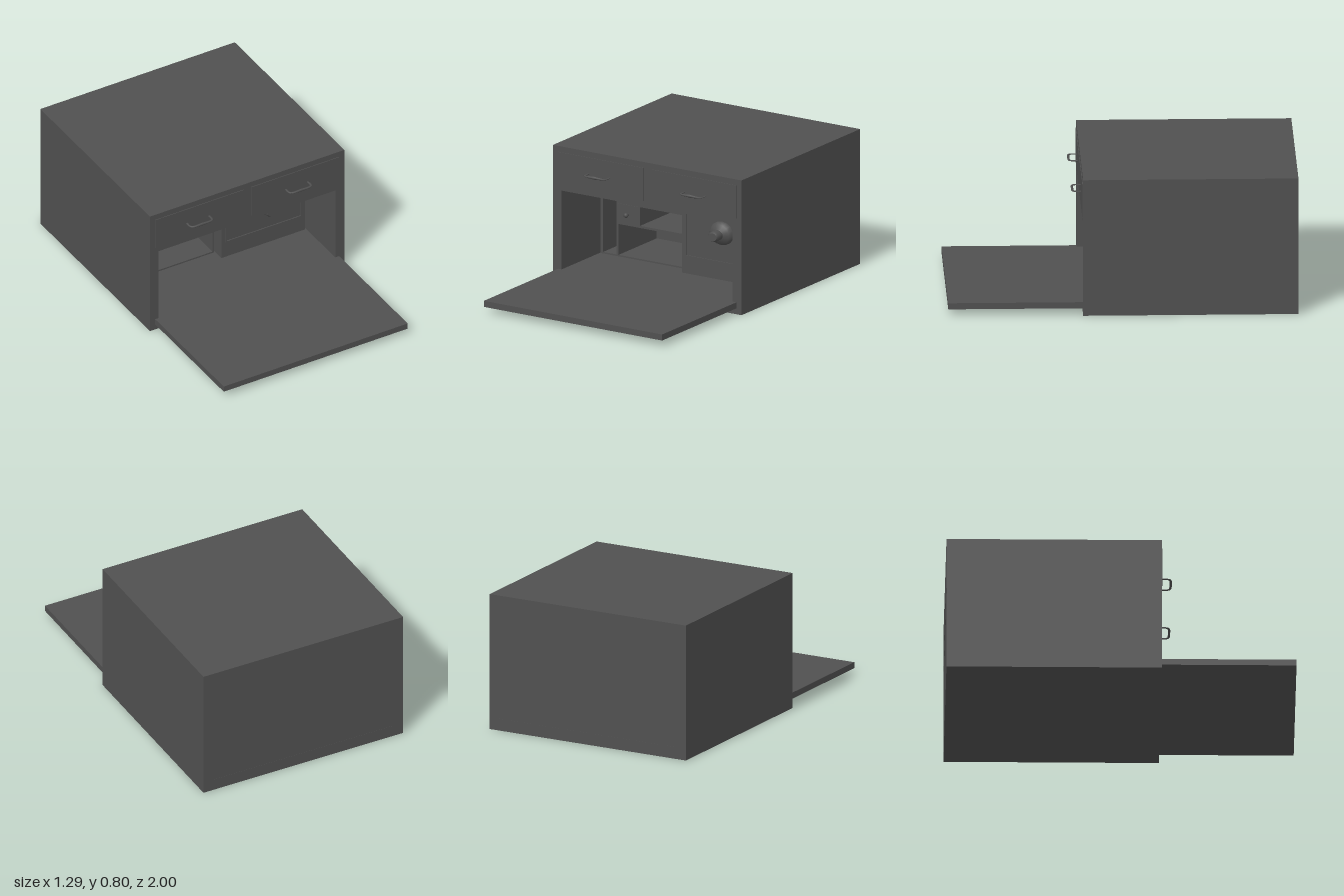
import * as THREE from 'three';

const paint = new THREE.MeshStandardMaterial({ color: 0x505050 });
paint.name = 'dark grey paint';

function add(parent, name, geometry, x = 0, y = 0, z = 0) {
  const mesh = new THREE.Mesh(geometry, paint);
  mesh.name = name;
  mesh.position.set(x, y, z);
  parent.add(mesh);
  return mesh;
}

// Box given by its limits on each axis
function block(parent, name, x0, x1, y0, y1, z0, z1) {
  return add(parent, name, new THREE.BoxGeometry(x1 - x0, y1 - y0, z1 - z0),
    (x0 + x1) / 2, (y0 + y1) / 2, (z0 + z1) / 2);
}

function rect(Type, x0, x1, y0, y1) {
  return new Type([[x0, y0], [x1, y0], [x1, y1], [x0, y1]].map(p => new THREE.Vector2(...p)));
}

// Rectangular panel with rectangular holes, running from z0 to z1
function frame(parent, name, outer, holes, z0, z1) {
  const shape = rect(THREE.Shape, ...outer);
  holes.forEach(h => shape.holes.push(rect(THREE.Path, ...h)));
  const geometry = new THREE.ExtrudeGeometry(shape, { depth: z1 - z0, bevelEnabled: false });
  return add(parent, name, geometry, 0, 0, z0);
}

// Bail handle: a bent rod, thickest in the middle of the grip
function handle() {
  const path = new THREE.CatmullRomCurve3([
    [-0.073, 0], [-0.073, 0.03], [-0.067, 0.043], [-0.05, 0.049], [0, 0.05],
    [0.05, 0.049], [0.067, 0.043], [0.073, 0.03], [0.073, 0],
  ].map(([x, z]) => new THREE.Vector3(x, 0, z)));
  const geometry = new THREE.TubeGeometry(path, 40, 0.007, 8);
  const p = geometry.attributes.position;
  for (let i = 0; i < p.count; i++) {
    p.setY(i, p.getY(i) * (1.3 - 0.9 * Math.abs(p.getX(i)) / 0.08));
  }
  geometry.computeVertexNormals();
  return geometry;
}

// Turned part whose axis points to the front
function turned(profile, sides) {
  const points = profile.map(([r, h]) => new THREE.Vector2(r, h));
  return new THREE.LatheGeometry(points, sides).rotateX(Math.PI / 2);
}

export function createModel() {
  const model = new THREE.Group();
  model.name = 'dropFrontDesk';
  const front = 0.23;

  // Case, open at the front below the drawers
  const opening = [-0.587, 0.585, 0.07, 0.54];
  frame(model, 'case', [-0.645, 0.645, 0, 0.803], [opening], -1, front);
  block(model, 'backPanel', -0.587, 0.585, 0.07, 0.54, -0.999, -0.97);

  // Fold-down writing leaf
  block(model, 'writingLeaf', -0.61, 0.61, 0.035, 0.071, front, 1);

  // Two upper drawers with handles
  for (const side of [-1, 1]) {
    const drawer = new THREE.Group();
    drawer.name = side < 0 ? 'rightDrawer' : 'leftDrawer';
    model.add(drawer);
    const x = side * 0.318;
    block(drawer, 'drawerFront', x - 0.292, x + 0.292, 0.57, 0.768, front, front + 0.004);
    add(drawer, 'drawerHandle', handle(), side * 0.328, 0.67, front + 0.004);
  }

  // Pigeonholes, set back inside the opening
  const holes = [
    [-0.563, -0.472, 0.08, 0.53],
    [-0.457, -0.36, 0.4, 0.53],
    [-0.347, -0.235, 0.4, 0.53],
    [-0.217, -0.105, 0.4, 0.53],
    [-0.088, 0.003, 0.4, 0.53],
    [-0.31, 0.003, 0.277, 0.388],
    [-0.457, 0.003, 0.08, 0.264],
  ];
  const pigeonholes = new THREE.Group();
  pigeonholes.name = 'pigeonholes';
  model.add(pigeonholes);
  frame(pigeonholes, 'dividers', [-0.58, 0.015, 0.071, 0.539], holes, -0.56, -0.165);
  block(pigeonholes, 'pigeonholeBack', -0.58, 0.015, 0.071, 0.539, -0.575, -0.56);

  // Small drawer beside the middle compartment
  block(pigeonholes, 'smallDrawerFront', -0.457, -0.32, 0.277, 0.388, -0.165, -0.162);
  add(pigeonholes, 'smallKnob', turned(
    [[0.006, 0], [0.006, 0.012], [0.014, 0.018], [0.014, 0.026], [0.008, 0.032], [0, 0.033]], 12),
    -0.39, 0.332, -0.162);

  // Strongbox with a framed door
  const strongbox = new THREE.Group();
  strongbox.name = 'strongbox';
  model.add(strongbox);
  block(strongbox, 'strongboxBody', 0.022, 0.577, 0.071, 0.539, -0.575, -0.095);
  frame(strongbox, 'doorMoulding', [0.047, 0.552, 0.174, 0.532],
    [[0.054, 0.545, 0.181, 0.525]], -0.095, -0.089);

  // Oval dial plate and knob on the door
  const knob = add(strongbox, 'doorKnob', turned(
    [[0.08, 0], [0.08, 0.008], [0.066, 0.03], [0.036, 0.042], [0.033, 0.045],
      [0.033, 0.045], [0.036, 0.088], [0.027, 0.1], [0.027, 0.1], [0, 0.1]], 16),
    0.298, 0.351, -0.095);
  knob.scale.y = 0.87;

  return model;
}
